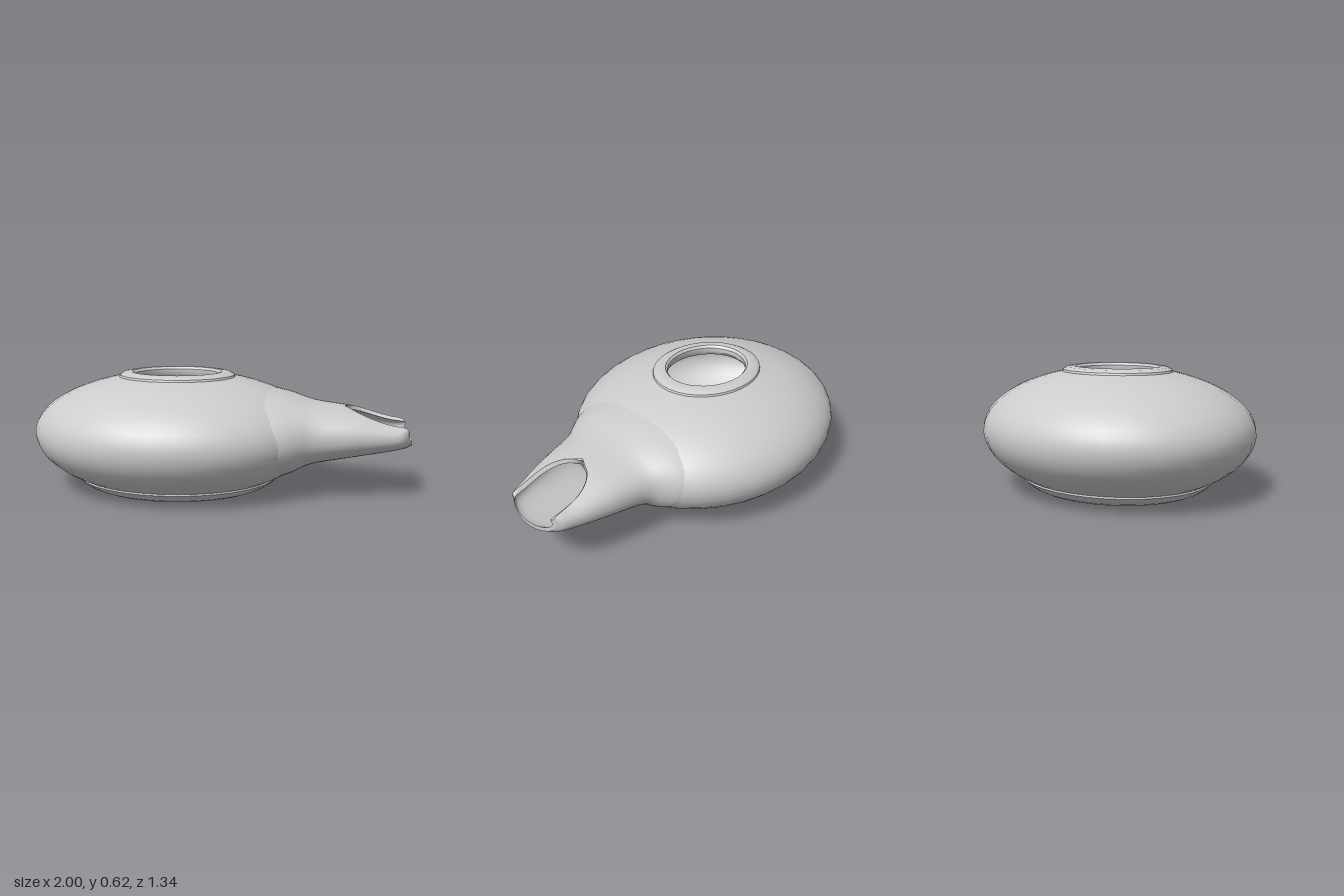
import * as THREE from 'three';
import { toCreasedNormals } from 'three/addons/utils/BufferGeometryUtils.js';
import { ParametricGeometry } from 'three/addons/geometries/ParametricGeometry.js';

const CX = -0.235, CY = 0.3, RX = 0.765, RZ = 0.67, UP = 0.315, DOWN = 0.335;

export function createModel() {
  const group = new THREE.Group();
  const material = new THREE.MeshStandardMaterial({ color: 0xcccccc, side: THREE.DoubleSide });

  const add = (name, geometry) => {
    const mesh = new THREE.Mesh(geometry, material);
    mesh.name = name;
    group.add(mesh);
  };

  // Oval turned part: radii are along x, squashed along z
  const turned = (name, points) => {
    const geo = new THREE.LatheGeometry(points.map(([r, y]) => new THREE.Vector2(r, y)), 36);
    geo.scale(1, 1, RZ / RX).translate(CX, 0, 0);
    add(name, toCreasedNormals(geo, 0.6));
  };

  // Flattened bowl profile between two heights, inset by a wall thickness
  const bowl = (y0, y1, inset, n = 18) => {
    const angle = (y) => Math.asin((y - CY) / ((y < CY ? DOWN : UP) - inset));
    const a0 = angle(y0), a1 = angle(y1);
    return Array.from({ length: n + 1 }, (_, i) => {
      const a = a0 + (a1 - a0) * i / n;
      return [(RX - inset) * Math.cos(a), CY + ((a < 0 ? DOWN : UP) - inset) * Math.sin(a)];
    });
  };

  turned('body', bowl(0.06, 0.59, 0));
  turned('interior', [...bowl(0.56, 0.08, 0.03), [0, 0.08]]);
  turned('foot', [[0, 0.055], [0.4, 0.055], [0.405, 0.01], [0.415, 0], [0.43, 0], [0.465, 0.006],
    [0.5, 0.02], [0.53, 0.04], [0.545, 0.056], [0.542, 0.068], [0.52, 0.07]]);
  turned('fillingCollar', [[0.3, 0.58], [0.312, 0.586], [0.308, 0.598], [0.285, 0.61], [0.25, 0.615],
    [0.238, 0.613], [0.226, 0.6], [0.226, 0.575], [0.24, 0.555], [0.3, 0.552]]);

  // Spout sections from body to tip: x, centre z, half width, centre y, half height
  const rows = [
    [0.36, 0.035, 0.41, 0.315, 0.22],
    [0.43, 0.037, 0.345, 0.318, 0.178],
    [0.52, 0.045, 0.293, 0.32, 0.153],
    [0.7, 0.05, 0.25, 0.325, 0.124],
    [0.88, 0.055, 0.2, 0.322, 0.087],
    [0.96, 0.055, 0.177, 0.327, 0.075],
    [1, 0.055, 0.152, 0.335, 0.068],
  ];
  const track = (cols) => new THREE.CatmullRomCurve3(
    rows.map((r) => new THREE.Vector3(...cols.map((c) => r[c]))), false, 'catmullrom', 0.5);
  const widths = track([0, 1, 2]), heights = track([0, 3, 4]);
  const P = 0.88; // slightly boxy section
  const power = (s) => Math.sign(s) * Math.abs(s) ** P;

  // u runs along the spout, v round it from one edge of the wick hole to the other
  const spoutPoint = (u, v, inset, target) => {
    const a = widths.getPoint(u), b = heights.getPoint(u);
    const t = Math.min(1, Math.max(0, (0.85 - a.x) / 0.18));
    const hole = 0.143 * Math.sqrt(1 - t * t);
    const open = Math.asin(Math.min(0.97, hole / a.z) ** (1 / P));
    const angle = open + (2 * Math.PI - 2 * open) * v;
    const z = a.y + (a.z - inset) * power(Math.sin(angle));
    const y = b.y + (b.z - inset) * power(Math.cos(angle));
    // The root follows the body's surface, the tip is rounded back
    const k = Math.max(0, 1 - u * 2.6) ** 2;
    const q = 1 - ((y - CY) / (y < CY ? DOWN : UP)) ** 2 - (z / RZ) ** 2;
    const surface = CX + RX * Math.sqrt(Math.max(0, q)) - 0.01;
    const tip = Math.max(0, (a.x - 0.8) / 0.2) ** 2;
    const side = (z - a.y) / a.z;
    const x = a.x + (surface - rows[0][0]) * k - 0.035 * tip * side * side;
    return target.set(x, y, z);
  };

  const WALL = 0.022;
  const spout = (name, fn, nu, nv) => add(name, new ParametricGeometry(fn, nu, nv));
  spout('spout', (u, v, p) => spoutPoint(u, 1 - v, 0, p), 48, 48);
  spout('spoutChannel', (u, v, p) => spoutPoint(0.15 + 0.85 * u, v, WALL, p), 48, 40);
  spout('spoutLip', (u, v, p) => spoutPoint(1, v, WALL * u, p), 2, 48);
  for (const [name, edge] of [['wickHoleRimBack', 0], ['wickHoleRimFront', 1]]) {
    spout(name, (u, v, p) => spoutPoint(0.45 + 0.55 * u, edge, WALL * v, p), 36, 2);
  }

  return group;
}
